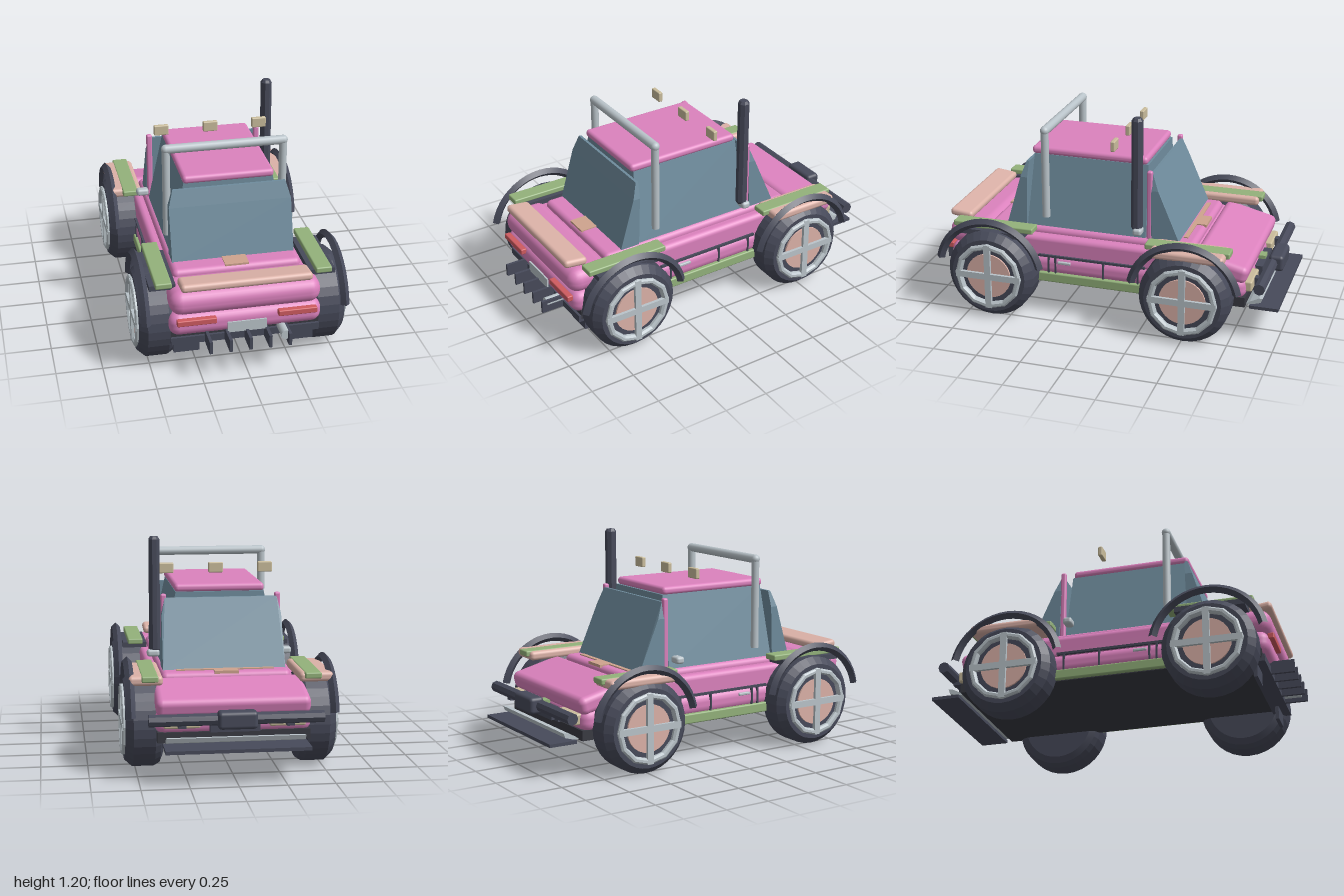
import * as THREE from 'three';
import { toCreasedNormals } from 'three/addons/utils/BufferGeometryUtils.js';
import { RoundedBoxGeometry } from 'three/addons/geometries/RoundedBoxGeometry.js';
import { ConvexGeometry } from 'three/addons/geometries/ConvexGeometry.js';

const paint = (name, color) => {
  const m = new THREE.MeshStandardMaterial({ color });
  m.name = name;
  return m;
};

export function createModel() {
  const car = new THREE.Group();
  car.name = 'offRoader';
  const pink = paint('pink', 0xdc82be), dark = paint('dark', 0x474a5a), under = paint('underbody', 0x393a42),
    glass = paint('glass', 0x6f8c9d), salmon = paint('salmon', 0xdcb2a8), tan = paint('tan', 0xcabd9c),
    copper = paint('copper', 0xcfa48e), green = paint('green', 0x93b27b), silver = paint('silver', 0xbac4ca),
    red = paint('red', 0xcf5b60);

  const add = (name, geo, mat, pos = [0, 0, 0], parent = car) => {
    const m = new THREE.Mesh(geo, mat);
    m.name = name;
    m.position.set(...pos);
    parent.add(m);
    return m;
  };
  // Boxes are given by their limits: [x0, x1], [y0, y1], [z0, z1]; r rounds the edges
  const box = (name, mat, x, y, z, r = 0) => {
    const s = [x, y, z].map(([a, b]) => Math.abs(b - a));
    const geo = r ? new RoundedBoxGeometry(...s, 3, r) : new THREE.BoxGeometry(...s);
    return add(name, geo, mat, [x, y, z].map(([a, b]) => (a + b) / 2));
  };
  const pair = (name, mat, x, y, z, r) => {
    for (const s of [1, -1]) box(name, mat, [s * x[0], s * x[1]], y, z, r);
  };
  // Solid between sections given as [y, half width, z0, z1]
  const loft = (name, mat, sections) => add(name, new ConvexGeometry(sections.flatMap(([y, w, a, b]) =>
    [-w, w].flatMap(x => [new THREE.Vector3(x, y, a), new THREE.Vector3(x, y, b)]))), mat);

  // Body shell
  box('chassis', under, [-0.40, 0.40], [0.195, 0.25], [-0.82, 0.86]);
  box('lowerBody', pink, [-0.41, 0.41], [0.23, 0.36], [-0.82, 0.90], 0.055);
  box('middleBody', pink, [-0.40, 0.40], [0.33, 0.465], [-0.54, 0.70], 0.03);
  box('cabinBase', pink, [-0.35, 0.35], [0.40, 0.50], [-0.52, 0.67], 0.03);
  box('tail', pink, [-0.405, 0.405], [0.35, 0.49], [0.66, 0.91], 0.065);
  const hood = box('hood', pink, [-0.405, 0.405], [0.355, 0.455], [-0.83, -0.52], 0.035);
  hood.rotation.x = -0.24;
  box('rearSpoiler', salmon, [-0.35, 0.35], [0.495, 0.54], [0.78, 0.915], 0.02).rotation.x = -0.12;
  box('rearVent', copper, [-0.065, 0.065], [0.495, 0.506], [0.56, 0.66]);
  box('hoodVent', copper, [-0.065, 0.065], [0.49, 0.506], [-0.52, -0.45]);
  box('cowlStrip', copper, [-0.265, 0.265], [0.49, 0.506], [-0.465, -0.44]);

  // Cabin
  loft('cabinGlass', glass, [[0.49, 0.33, -0.24, 0.45], [0.895, 0.245, -0.23, 0.43]]);
  loft('rearWindow', glass, [[0.49, 0.335, 0.455, 0.57], [0.78, 0.335, 0.445, 0.485], [0.87, 0.31, 0.44, 0.455]]);
  loft('windshield', glass, [[0.49, 0.335, -0.435, -0.275], [0.78, 0.33, -0.31, -0.27], [0.87, 0.31, -0.275, -0.26]]);
  box('roof', pink, [-0.25, 0.25], [0.892, 0.937], [-0.225, 0.445], 0.02);
  pair('windshieldPillar', pink, [0.30, 0.332], [0.48, 0.89], [-0.275, -0.245], 0.01);
  for (const x of [-0.28, 0, 0.28]) {
    box('roofLight', tan, [x - 0.041, x + 0.041], [0.977, 1.035], [-0.06, -0.035], 0.006);
  }
  pair('mirror', silver, [0.335, 0.405], [0.535, 0.575], [-0.235, -0.185], 0.015);

  // Roll hoop and snorkel
  for (const x of [-0.322, 0.322]) {
    add('hoopPost', new THREE.CylinderGeometry(0.022, 0.022, 0.51, 16), silver, [x, 0.81, 0.34]);
  }
  add('hoopBar', new THREE.CapsuleGeometry(0.025, 0.645, 6, 16), silver, [0, 1.06, 0.34]).rotation.z = Math.PI / 2;
  const pipe = toCreasedNormals(new THREE.LatheGeometry([[0, -0.32], [0.024, -0.32], [0.032, -0.305], [0.032, 0.305],
    [0.022, 0.32], [0, 0.32]].map(p => new THREE.Vector2(...p)), 8), 0.2);
  add('snorkel', pipe, dark, [0.36, 0.88, -0.2]).rotation.y = Math.PI / 8;

  // Side sills, rub rails and handles
  pair('sill', green, [0.36, 0.422], [0.2, 0.255], [-0.30, 0.38], 0.008);
  pair('sideRail', dark, [0.395, 0.413], [0.347, 0.36], [-0.26, 0.36]);
  for (const z of [0.3, 0.26, -0.02, -0.22]) {
    pair('doorSeam', dark, [0.40, 0.414], [0.255, 0.35], [z - 0.005, z + 0.005]);
  }
  pair('doorHandle', silver, [0.40, 0.417], [0.312, 0.328], [0.17, 0.245], 0.005);

  // Wheels and fenders
  const tyreProfile = [[0, -0.1], [0.2, -0.1], [0.235, -0.085], [0.252, -0.055], [0.252, 0.06],
    [0.215, 0.1], [0.19, 0.1], [0.18, 0.09], [0, 0.09]].map(p => new THREE.Vector2(...p));
  const tyreGeo = toCreasedNormals(new THREE.LatheGeometry(tyreProfile, 32), 0.1);
  const rimGeo = toCreasedNormals(new THREE.LatheGeometry([[0.162, 0.085], [0.195, 0.085], [0.195, 0.11], [0.186, 0.117],
    [0.172, 0.117], [0.162, 0.105], [0.162, 0.085]].map(p => new THREE.Vector2(...p)), 12), 0.2);
  const archGeo = toCreasedNormals(new THREE.TorusGeometry(0.3, 0.024, 4, 20, Math.PI * 0.87), 0.1);
  archGeo.rotateZ(Math.PI * 0.065).rotateY(Math.PI / 2);
  const spin = new THREE.Group();
  for (const z of [0.605, -0.51]) {
    for (const s of [1, -1]) {
      const wheel = new THREE.Group();
      wheel.name = 'wheel';
      wheel.position.set(s * 0.457, 0.254, z);
      wheel.rotation.z = -s * Math.PI / 2;
      car.add(wheel);
      add('tyre', tyreGeo, dark, [0, 0, 0], wheel);
      add('rim', rimGeo, silver, [0, 0, 0], wheel);
      add('hubDisc', new THREE.CylinderGeometry(0.13, 0.13, 0.02, 24), salmon, [0, 0.09, 0], wheel);
      add('spoke', new THREE.BoxGeometry(0.38, 0.02, 0.036), silver, [0, 0.107, 0], wheel);
      add('spoke', new THREE.BoxGeometry(0.036, 0.02, 0.38), silver, [0, 0.107, 0], wheel);
      add('wheelArch', archGeo, dark, [s * 0.533, 0.265, z]);
    }
    pair('fenderTop', green, [0.385, 0.473], [0.497, 0.53], [z - 0.235, z + 0.235], 0.008);
  }
  pair('frontFenderPad', salmon, [0.36, 0.54], [0.475, 0.527], [-0.725, -0.315], 0.02);
  pair('rearFenderMount', dark, [0.36, 0.50], [0.47, 0.50], [0.42, 0.80]);

  // Tail details
  pair('tailLight', red, [0.165, 0.375], [0.312, 0.345], [0.89, 0.925], 0.006);
  box('rearPlate', silver, [-0.105, 0.105], [0.24, 0.3], [0.9, 0.909]);
  box('diffuserBar', dark, [-0.40, 0.40], [0.178, 0.218], [0.78, 0.875]);
  for (let i = -2; i <= 2; i++) {
    const x = i * 0.106;
    box('diffuserFin', dark, [x - 0.008, x + 0.008], [0.178, 0.248], [0.85, 1.0]);
  }
  add('exhaust', new THREE.CylinderGeometry(0.026, 0.026, 0.12, 16), silver, [0.195, 0.225, 0.91]).rotation.x = Math.PI / 2;
  pair('mudFlap', dark, [0.24, 0.38], [0.103, 0.2], [0.81, 0.83]);

  // Nose: lights, grille, winch bumper and splitter
  pair('headlight', tan, [0.18, 0.37], [0.275, 0.335], [-0.85, -0.80], 0.01);
  box('grille', dark, [-0.13, 0.13], [0.255, 0.325], [-0.86, -0.81]);
  box('noseBadgePlate', green, [-0.03, 0.03], [0.325, 0.345], [-0.855, -0.81]);
  const bar = toCreasedNormals(new THREE.CylinderGeometry(0.032, 0.032, 0.905, 8), 0.2);
  add('bumperBar', bar, dark, [0, 0.335, -0.905]).rotation.z = Math.PI / 2;
  box('winch', dark, [-0.102, 0.102], [0.29, 0.382], [-0.968, -0.885], 0.02);
  pair('bumperBracket', dark, [0.26, 0.30], [0.29, 0.33], [-0.91, -0.8]);
  loft('skidPlate', silver, [[0.2, 0.36, -0.85, -0.82], [0.215, 0.36, -0.9, -0.84], [0.24, 0.36, -0.91, -0.89]]);
  box('splitter', dark, [-0.375, 0.375], [0.18, 0.198], [-1.0, -0.84]);
  return car;
}
